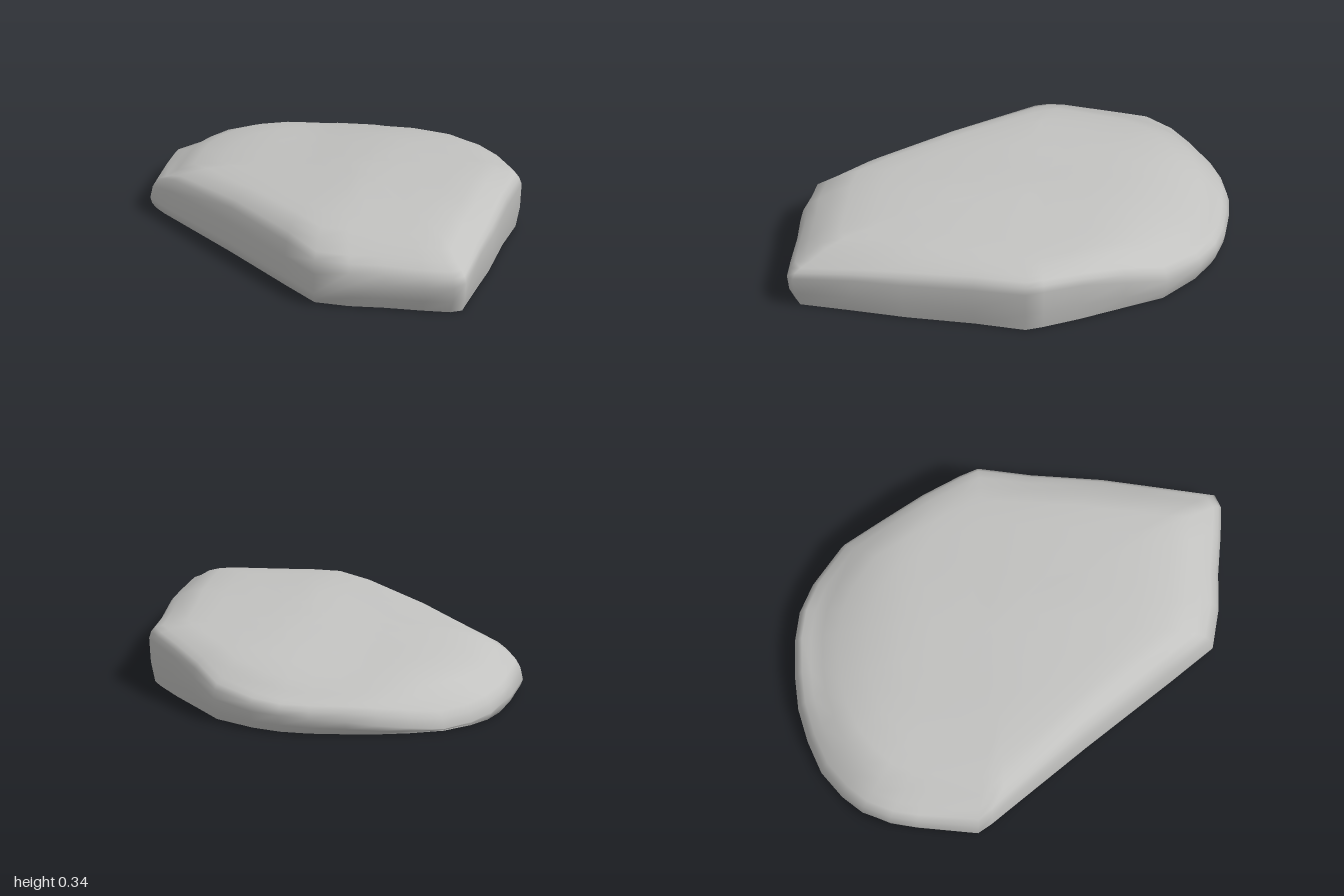
import * as THREE from 'three';

// Outline, counterclockwise from above: x, z, height of widest line, height of top edge
const OUTLINE = [
  [0.20, 1.00, 0.06, 0.22], [0.38, 1.00, 0.12, 0.22], [0.55, 0.97, 0.13, 0.22], [0.75, 0.95, 0.13, 0.21],
  [0.89, 0.93, 0.14, 0.21], [0.94, 0.89, 0.16, 0.21], [0.925, 0.60, 0.19, 0.24], [0.915, 0.35, 0.20, 0.26],
  [0.88, 0.00, 0.21, 0.27], [0.87, -0.26, 0.22, 0.275], [0.82, -0.34, 0.22, 0.27], [0.70, -0.50, 0.21, 0.26],
  [0.55, -0.68, 0.16, 0.23], [0.41, -0.85, 0.11, 0.18], [0.20, -0.96, 0.09, 0.15], [0.05, -1.00, 0.09, 0.14],
  [-0.10, -1.00, 0.08, 0.14], [-0.28, -0.97, 0.07, 0.14], [-0.43, -0.93, 0.05, 0.13], [-0.58, -0.86, 0.03, 0.11],
  [-0.72, -0.77, 0.01, 0.09], [-0.83, -0.65, 0.02, 0.10], [-0.90, -0.54, 0.04, 0.12], [-0.94, -0.40, 0.07, 0.14],
  [-0.94, -0.27, 0.06, 0.14], [-0.92, 0.03, 0.05, 0.15], [-0.86, 0.09, 0.05, 0.18], [-0.80, 0.14, 0.05, 0.20],
  [-0.40, 0.48, 0.06, 0.23], [0.00, 0.83, 0.06, 0.23],
];
// Height of the upper face across x and along z
const ACROSS = [[-0.94, 0.09], [-0.88, 0.165], [-0.8, 0.22], [-0.7, 0.255], [-0.5, 0.29], [-0.25, 0.304],
  [0, 0.33], [0.2, 0.345], [0.7, 0.332], [0.8, 0.318], [0.88, 0.29], [0.94, 0.25]];
const ALONG = [[-1, 0.1], [-0.93, 0.155], [-0.85, 0.2], [-0.7, 0.26], [-0.55, 0.295], [-0.3, 0.316],
  [0, 0.336], [0.3, 0.345], [0.6, 0.337], [0.8, 0.313], [0.9, 0.285], [1, 0.23]];
const CX = 0.05, CZ = -0.05, INSET = 0.035;
const { lerp } = THREE.MathUtils;

function sample(table, v) {
  const i = Math.max(1, table.findIndex(([a]) => v <= a));
  const [a, ha] = table[i - 1], [b, hb] = table[i];
  return lerp(ha, hb, (v - a) / (b - a));
}
const topHeight = (x, z) => sample(ACROSS, x) * sample(ALONG, z) / 0.345;

// Outline point drawn in towards the middle by s, at height y
const at = ([x, z], s, y) => [CX + (x - CX) * s, y, CZ + (z - CZ) * s];

// Foot of the wall, drawn in less where the widest line is near the ground
const foot = (p) => at(p, 1 - 0.035 * Math.min(1, p[2] / 0.06), 0);

// Point on the domed upper face, rising smoothly from the edge
function domed(p, s) {
  const [x, , z] = at(p, s, 0);
  const t = Math.min(1, (1 - INSET - s) / 0.17);
  return [x, lerp(p[3], topHeight(x, z), 1 - (1 - t) ** 2), z];
}

function makeMesh(name, positions, indices, material) {
  const geometry = new THREE.BufferGeometry();
  geometry.setAttribute('position', new THREE.Float32BufferAttribute(positions.flat(), 3));
  geometry.setIndex(indices);
  geometry.computeVertexNormals();
  const mesh = new THREE.Mesh(geometry, material);
  mesh.name = name;
  return mesh;
}

export function createModel() {
  const group = new THREE.Group();
  group.name = 'flatStone';
  const stone = new THREE.MeshStandardMaterial({ color: 0xc2c2c0 });
  stone.name = 'stone grey';
  const n = OUTLINE.length;

  // Side wall from foot to rounded edge, then the upper face
  const rings = [
    foot,
    (p) => at(p, 0.99, p[2] * 0.45),
    (p) => at(p, 1, p[2]),
    (p) => at(p, 1 - INSET * 0.35, lerp(p[2], p[3], 0.6)),
    (p) => at(p, 1 - INSET, p[3]),
  ];
  for (const s of [0.92, 0.86, 0.78, 0.64, 0.48, 0.32, 0.16]) rings.push((p) => domed(p, s));

  const points = rings.flatMap((ring) => OUTLINE.map(ring));
  const faces = [];
  points.push([CX, topHeight(CX, CZ), CZ]);
  for (let r = 0; r < rings.length; r++) {
    for (let i = 0; i < n; i++) {
      const a = r * n + i, b = r * n + (i + 1) % n;
      if (r < rings.length - 1) faces.push(a, b, b + n, a, b + n, a + n);
      else faces.push(a, b, rings.length * n);
    }
  }
  group.add(makeMesh('stoneBody', points, faces, stone));

  // Flat underside
  const base = [...OUTLINE.map(foot), [CX, 0, CZ]];
  const baseFaces = OUTLINE.flatMap((_, i) => [(i + 1) % n, i, n]);
  group.add(makeMesh('underside', base, baseFaces, stone));

  return group;
}
